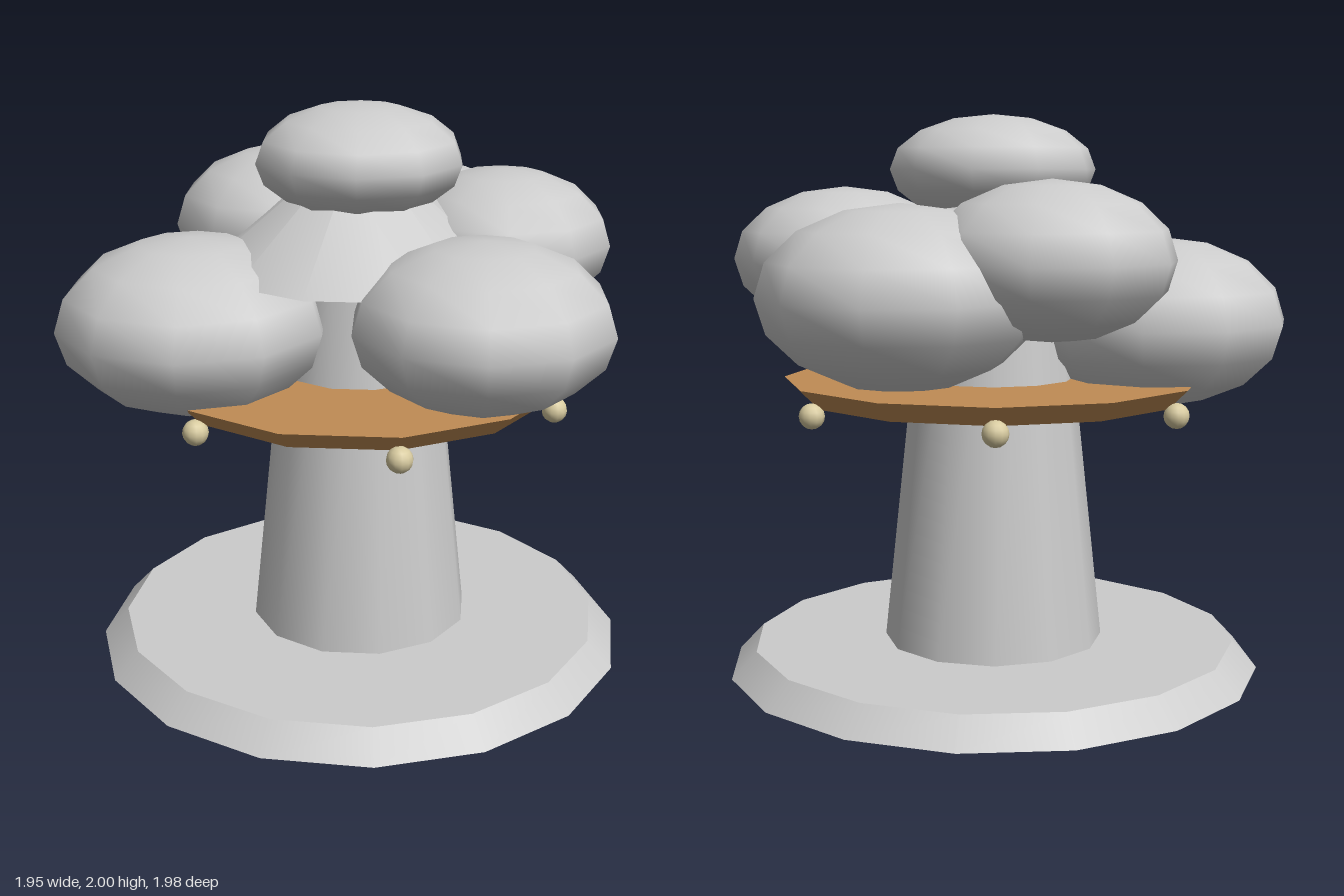
import * as THREE from 'three';

export function createModel() {
  const group = new THREE.Group();
  const mat = (name, color) => {
    const m = new THREE.MeshStandardMaterial({ color });
    m.name = name;
    return m;
  };
  const grey = mat('paleGrey', 0xcccccc);
  const wood = mat('woodBrown', 0xc08c54);
  const cream = mat('lampCream', 0xd8cba0);
  const cz = 0.015; // shared axis of the turned parts

  const add = (name, geometry, material, x, y, z) => {
    const mesh = new THREE.Mesh(geometry, material);
    mesh.name = name;
    mesh.position.set(x, y, z);
    group.add(mesh);
    return mesh;
  };
  // Frustum standing between two heights
  const frustum = (name, rTop, rBottom, y0, y1, sides, material) =>
    add(name, new THREE.CylinderGeometry(rTop, rBottom, y1 - y0, sides), material, 0, (y0 + y1) / 2, cz);

  frustum('base', 0.88, 0.97, 0, 0.095, 16, grey);
  frustum('trunk', 0.25, 0.4, 0.09, 1.5, 12, grey);
  frustum('platform', 0.76, 0.69, 0.99, 1.06, 12, wood);

  // Conical crown core on top of the trunk
  add('crownCore', new THREE.ConeGeometry(0.545, 0.45, 12), grey, 0, 1.665, cz);

  // Foliage puffs: x, y, z, horizontal radius, vertical radius
  const puffs = [
    [-0.495, 1.26, 0.35, 0.48, 0.305],
    [0.528, 1.337, 0.29, 0.448, 0.284],
    [0.435, 1.493, -0.285, 0.395, 0.253],
    [-0.395, 1.505, -0.29, 0.425, 0.27],
    [0.045, 1.383, -0.53, 0.485, 0.313],
    [0, 1.806, cz, 0.37, 0.194],
  ];
  const puffGeometry = new THREE.SphereGeometry(1, 10, 8);
  puffs.forEach(([x, y, z, r, h], i) => {
    add(`foliage${i + 1}`, puffGeometry, grey, x, y, z).scale.set(r, h, r);
  });

  // Small lamps around the platform rim
  const lampGeometry = new THREE.SphereGeometry(0.045, 12, 8);
  for (let i = 0; i < 6; i++) {
    const a = (i * Math.PI) / 3;
    add(`lamp${i + 1}`, lampGeometry, cream, 0.72 * Math.cos(a), 0.97, cz + 0.72 * Math.sin(a));
  }
  return group;
}
